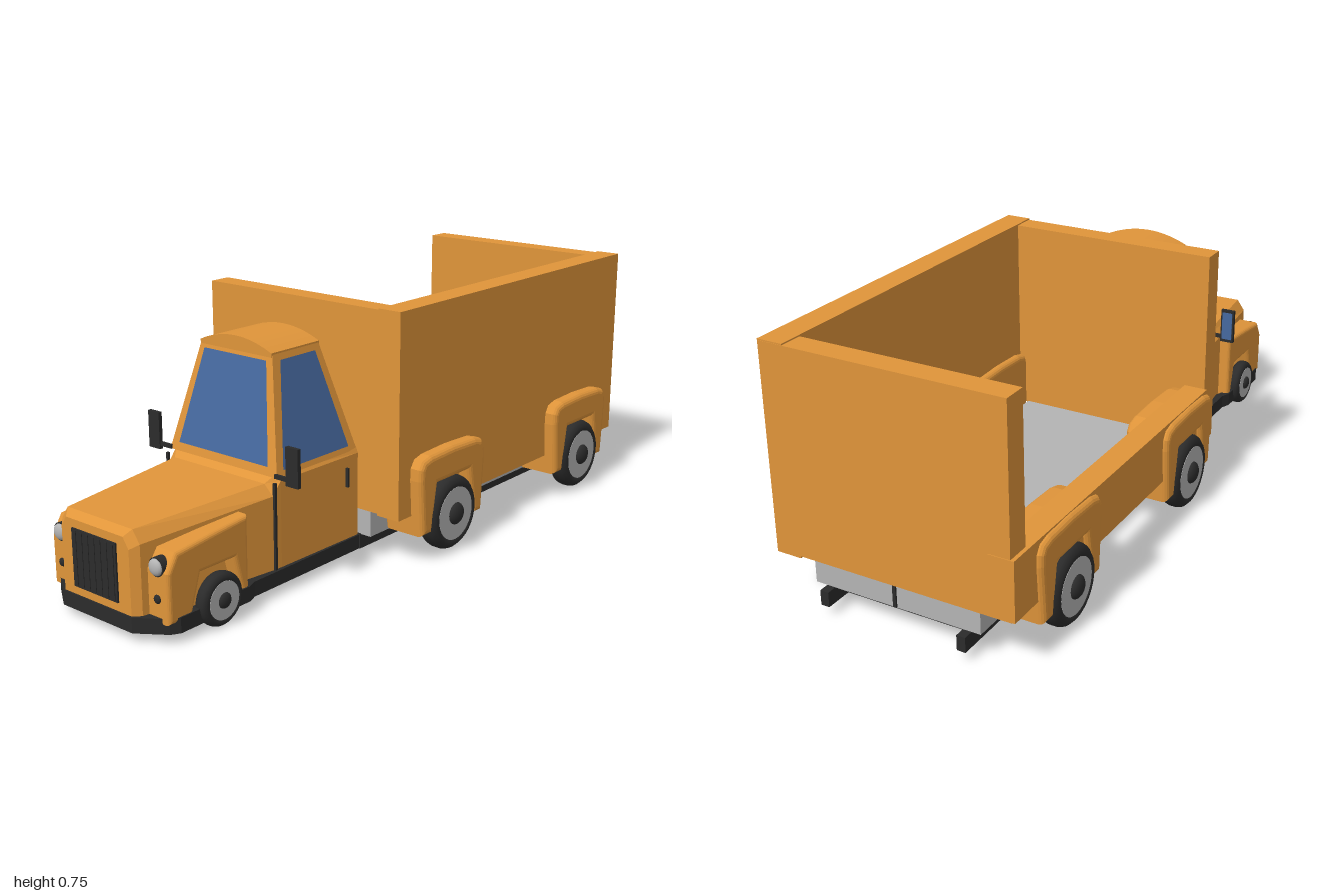
import * as THREE from 'three';

const mat = (color) => new THREE.MeshStandardMaterial({ color, side: THREE.DoubleSide });
const ORANGE = mat(0xe0953a), BLACK = mat(0x2b2b2b), GLASS = mat(0x46699f), GREY = mat(0xb4b4b4);
[ORANGE, BLACK, GLASS, GREY].forEach((m) => { m.side = THREE.FrontSide; });
const PANE = mat(0x46699f);

function add(parent, name, geo, material, x = 0, y = 0, z = 0) {
  const m = new THREE.Mesh(geo, material);
  m.name = name;
  m.position.set(x, y, z);
  parent.add(m);
  return m;
}

// box given by its minimum and maximum on each axis
function block(parent, name, material, x0, x1, y0, y1, z0, z1) {
  return add(parent, name, new THREE.BoxGeometry(x1 - x0, y1 - y0, z1 - z0), material,
    (x0 + x1) / 2, (y0 + y1) / 2, (z0 + z1) / 2);
}

// flat-shaded solid through closed rings of [x, y, z] points, capped at both ends
function loft(rings) {
  const n = rings[0].length, tris = [];
  for (let i = 0; i < rings.length - 1; i++) {
    for (let j = 0; j < n; j++) {
      const k = (j + 1) % n, a = rings[i], b = rings[i + 1];
      tris.push([a[j], a[k], b[k]], [a[j], b[k], b[j]]);
    }
  }
  const first = rings[0], last = rings[rings.length - 1];
  for (let j = 1; j < n - 1; j++) {
    tris.push([first[0], first[j + 1], first[j]], [last[0], last[j], last[j + 1]]);
  }
  // turn every face outward
  const v = (p) => new THREE.Vector3(...p);
  let volume = 0;
  for (const [a, b, c] of tris) volume += v(a).dot(v(b).cross(v(c)));
  if (volume < 0) tris.forEach((t) => t.reverse());
  const g = new THREE.BufferGeometry();
  g.setAttribute('position', new THREE.Float32BufferAttribute(tris.flat(2), 3));
  g.computeVertexNormals();
  return g;
}

function quad(a, b, c, d) {
  const g = new THREE.BufferGeometry();
  g.setAttribute('position', new THREE.Float32BufferAttribute([a, b, c, a, c, d].flat(), 3));
  g.computeVertexNormals();
  return g;
}

// bevelled plate standing in the xy plane, total thickness z0..z1
function plate(points, z0, z1, bevel) {
  const shape = new THREE.Shape(points.map((p) => new THREE.Vector2(...p)));
  const g = new THREE.ExtrudeGeometry(shape, {
    depth: z1 - z0 - 2 * bevel, bevelEnabled: true, bevelSize: bevel,
    bevelThickness: bevel, bevelOffset: -bevel, bevelSegments: 4,
  });
  return g.translate(0, 0, z0 + bevel);
}

// wheel facing +z; r is the tyre radius, w its width
function wheel(name, r, w) {
  const g = new THREE.Group();
  g.name = name;
  const h = w / 2;
  const profile = [[0, -h], [0.85 * r, -h], [0.97 * r, -0.65 * h], [r, -0.3 * h], [r, 0.3 * h],
    [0.97 * r, 0.65 * h], [0.87 * r, h], [0.72 * r, h], [0.68 * r, 0.6 * h]];
  add(g, 'tyre', new THREE.LatheGeometry(profile.map((p) => new THREE.Vector2(...p)), 32)
    .rotateX(Math.PI / 2), BLACK);
  add(g, 'rim', new THREE.CylinderGeometry(0.72 * r, 0.72 * r, w, 32).rotateX(Math.PI / 2), GREY, 0, 0, 0.001);
  add(g, 'hub', new THREE.SphereGeometry(0.3 * r, 20, 12).scale(1, 1, 0.55), BLACK, 0, 0, h);
  return g;
}

function buildCab() {
  const cab = new THREE.Group();
  cab.name = 'cab';

  // bonnet and lower cab: [x, top, half width, shoulder inset, shoulder drop]
  const stations = [[-0.995, 0.285, 0.13, 0.02, 0.03], [-0.975, 0.303, 0.15, 0.025, 0.035],
    [-0.55, 0.318, 0.205, 0.03, 0.03], [-0.52, 0.345, 0.207, 0.012, 0.02], [-0.2, 0.345, 0.212, 0.008, 0.02]];
  add(cab, 'lowerBody', loft(stations.map(([x, t, h, i, d]) => [[x, 0.05, -h], [x, t - d, -h],
    [x, t, i - h], [x, t, h - i], [x, t - d, h], [x, 0.05, h]])), ORANGE);

  // tapered upper cab and arched roof
  const rect = (y, x0, x1, z) => [[x0, y, -z], [x1, y, -z], [x1, y, z], [x0, y, z]];
  add(cab, 'upperCab', loft([rect(0.335, -0.535, -0.2, 0.207), rect(0.652, -0.468, -0.28, 0.135)]), ORANGE);
  const arch = (x) => {
    const ring = [[x, 0.645, -0.135]];
    for (let i = 0; i <= 10; i++) {
      const t = i / 5 - 1;
      ring.push([x, 0.657 + 0.03 * (1 - t * t), 0.135 * t]);
    }
    ring.push([x, 0.645, 0.135]);
    return ring;
  };
  add(cab, 'roof', loft([arch(-0.472), arch(-0.278)]), ORANGE);

  // panes lie just proud of the sloping cab faces
  const rise = (y) => (y - 0.335) / 0.317;
  const sideZ = (y) => 0.21 - 0.072 * rise(y);
  const frontX = (y) => -0.538 + 0.067 * rise(y);
  add(cab, 'windscreen', quad([frontX(0.36), 0.36, -0.172], [frontX(0.36), 0.36, 0.172],
    [frontX(0.635), 0.635, 0.118], [frontX(0.635), 0.635, -0.118]), PANE);

  // plan of the dark skirt and bumper, with the middle left open
  const plan = [[-1, 0.135], [-0.945, 0.215], [-0.92, 0.23], [-0.67, 0.23], [-0.64, 0.218], [-0.2, 0.218]];
  const outline = [...plan, ...plan.map(([x, z]) => [x, -z]).reverse()].map((p) => new THREE.Vector2(...p));
  const skirt = new THREE.Shape(outline);
  skirt.holes.push(new THREE.Path(outline.map((p) =>
    new THREE.Vector2(-0.6 + (p.x + 0.6) * 0.93, p.y * 0.88))));
  add(cab, 'bumperAndSkirt', new THREE.ExtrudeGeometry(skirt, { depth: 0.043, bevelEnabled: false })
    .rotateX(Math.PI / 2), BLACK, 0, 0.075, 0);

  // grille with upright bars
  block(cab, 'grille', BLACK, -1, -0.98, 0.1, 0.262, -0.085, 0.085);
  for (let i = 0; i < 7; i++) {
    const z = -0.072 + i * 0.024;
    block(cab, 'grilleBar', BLACK, -1.002, -0.99, 0.105, 0.257, z - 0.005, z + 0.005);
  }

  const fender = [[-0.955, 0.06], [-0.955, 0.2], [-0.925, 0.25], [-0.8, 0.264], [-0.667, 0.276],
    [-0.667, 0.045], [-0.69, 0.045], [-0.72, 0.17], [-0.84, 0.17], [-0.875, 0.06]];
  for (const s of [1, -1]) {
    const z0 = s > 0 ? 0.12 : -0.226, z1 = s > 0 ? 0.226 : -0.12;
    add(cab, 'frontFender', plate(fender, z0, z1, 0.012), ORANGE);
    add(cab, 'sideWindow', quad([-0.508, 0.352, s * sideZ(0.352)], [-0.235, 0.352, s * sideZ(0.352)],
      [-0.302, 0.635, s * sideZ(0.635)], [-0.444, 0.635, s * sideZ(0.635)]), PANE);
    block(cab, 'doorGap', BLACK, -0.549, -0.541, 0.07, 0.325, s * 0.208 - 0.004, s * 0.208 + 0.004);
    block(cab, 'doorHandle', BLACK, -0.253, -0.247, 0.235, 0.292, s * 0.215 - 0.005, s * 0.215 + 0.005);

    // lamps on the fender nose
    const lamp = new THREE.CylinderGeometry(0.026, 0.026, 0.025, 20).rotateZ(Math.PI / 2);
    add(cab, 'headlampRing', lamp, BLACK, -0.945, 0.212, s * 0.186);
    add(cab, 'headlamp', new THREE.SphereGeometry(0.023, 16, 12).scale(0.5, 1, 1), GREY, -0.958, 0.212, s * 0.186);
    add(cab, 'indicator', new THREE.SphereGeometry(0.012, 12, 8).scale(0.6, 1, 1), BLACK, -0.956, 0.125, s * 0.186);

    // door mirror on its arm
    block(cab, 'mirrorArm', BLACK, -0.539, -0.531, 0.335, 0.347, s * 0.24 - 0.04, s * 0.24 + 0.04);
    block(cab, 'mirror', BLACK, -0.542, -0.53, 0.325, 0.435, s * 0.267 - 0.022, s * 0.267 + 0.022);
    block(cab, 'mirrorGlass', GLASS, -0.531, -0.528, 0.335, 0.427, s * 0.267 - 0.017, s * 0.267 + 0.017);

    const w = wheel('frontWheel', 0.074, 0.04);
    w.position.set(-0.78, 0.078, s * 0.225);
    if (s < 0) w.rotation.y = Math.PI;
    cab.add(w);
  }
  cab.position.z = -0.006;
  return cab;
}

function buildBed() {
  const bed = new THREE.Group();
  bed.name = 'cargoBed';

  // floor, chassis plate and rails
  block(bed, 'floor', GREY, -0.195, 0.97, 0.076, 0.158, -0.262, 0.25);
  block(bed, 'rearDivider', BLACK, 0.968, 0.975, 0.078, 0.157, -0.01, 0);
  block(bed, 'chassisPlate', BLACK, -0.2, 0.96, 0.066, 0.078, -0.225, 0.215);
  for (const z of [-0.222, 0.202]) block(bed, 'chassisRail', BLACK, -0.2, 1, 0.032, 0.076, z - 0.013, z + 0.013);

  // three tall walls and one dropped side
  block(bed, 'frontWall', ORANGE, -0.198, -0.13, 0.155, 0.752, -0.37, 0.35);
  block(bed, 'rearWall', ORANGE, 0.923, 0.993, 0.157, 0.752, -0.367, 0.35);
  block(bed, 'tallSideWall', ORANGE, -0.2, 0.992, 0.15, 0.756, 0.278, 0.355);
  block(bed, 'lowSideWall', ORANGE, -0.13, 0.995, 0.16, 0.333, -0.378, -0.305);

  // wheel arches, with a closed inner panel
  const top = [[-0.162, 0.26], [-0.16, 0.295], [-0.145, 0.318], [-0.11, 0.327], [0, 0.331],
    [0.11, 0.327], [0.145, 0.318], [0.16, 0.295], [0.162, 0.26], [0.15, 0.09]];
  const cut = [[0.1, 0.09], [0.075, 0.235], [-0.075, 0.235], [-0.1, 0.09]];
  const left = [[-0.15, 0.09]];
  for (const x of [0.015, 0.73]) {
    for (const s of [1, -1]) {
      const side = new THREE.Group();
      side.name = 'rearWheelAssembly';
      add(side, 'rearFender', plate([...top, ...cut, ...left], 0.257, 0.394, 0.018), ORANGE);
      add(side, 'innerPanel', plate([...top, ...left], 0.257, 0.305, 0.016), ORANGE);
      const w = wheel('rearWheel', 0.112, 0.062);
      w.position.set(0, 0.125, 0.37);
      side.add(w);
      side.position.x = x;
      if (s < 0) side.rotation.y = Math.PI;
      bed.add(side);
    }
  }
  return bed;
}

export function createModel() {
  const truck = new THREE.Group();
  truck.name = 'truck';
  truck.add(buildCab(), buildBed());
  return truck;
}
